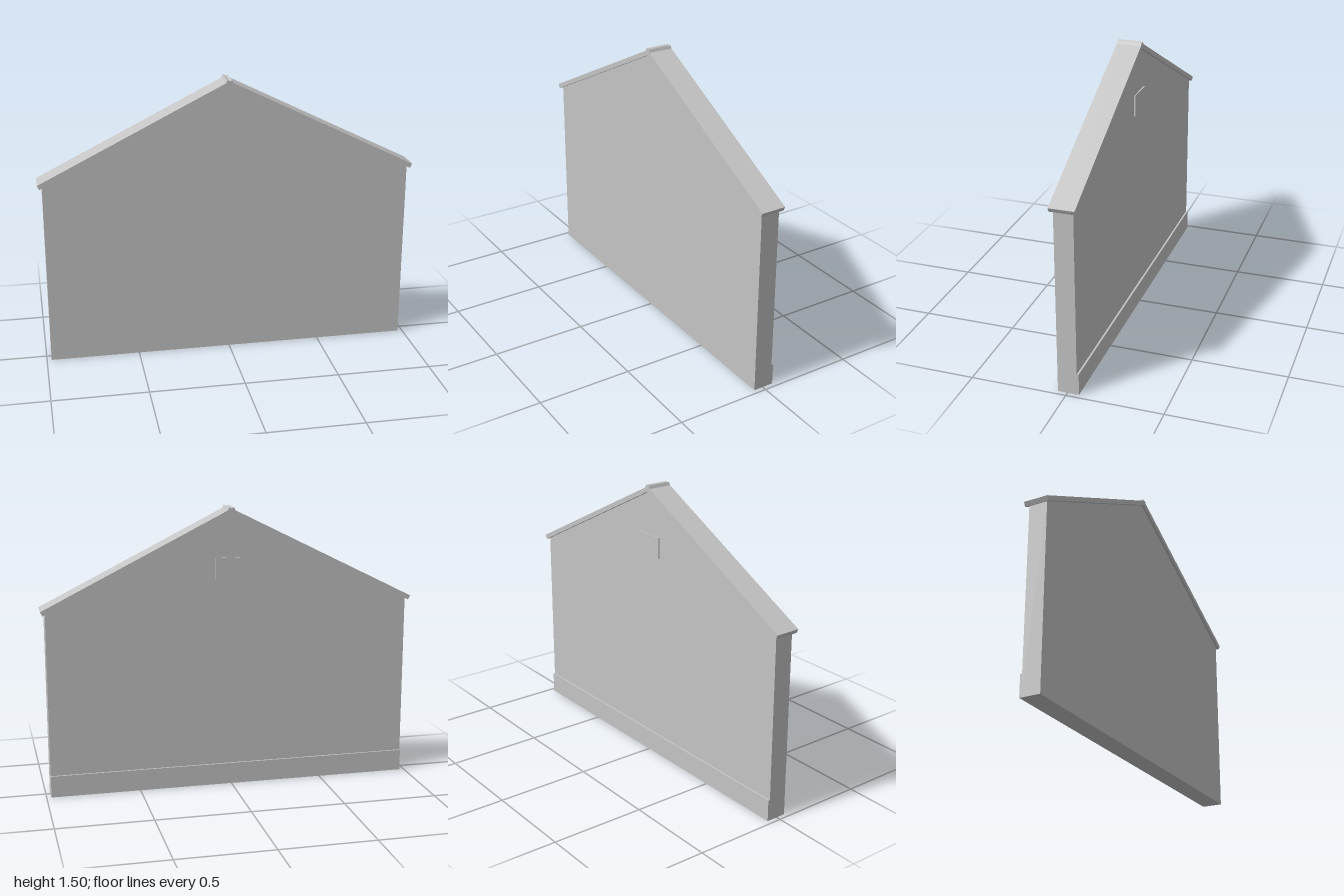
import * as THREE from 'three';

export function createModel() {
  const group = new THREE.Group();
  const grey = new THREE.MeshStandardMaterial({ color: 0xc4c4c4 });
  grey.name = 'plain grey';

  const add = (name, geometry, x = 0, y = 0, z = 0) => {
    const mesh = new THREE.Mesh(geometry, grey);
    mesh.name = name;
    mesh.position.set(x, y, z);
    group.add(mesh);
    return mesh;
  };

  // Extrudes an outline along z, centred on z = 0
  const slab = (points, depth) =>
    new THREE.ExtrudeGeometry(
      new THREE.Shape(points.map(([x, y]) => new THREE.Vector2(x, y))),
      { depth, bevelEnabled: false }
    ).translate(0, 0, -depth / 2);

  // Gabled wall
  const half = 0.975;
  add('gableWall', slab([[-half, 0], [half, 0], [half, 0.987], [0, 1.474], [-half, 0.987]], 0.1));

  // Sloping roof boards, crossing slightly at the ridge
  const angle = Math.atan2(0.5, 1);
  const thickness = 0.025;
  const length = 1.012 / Math.cos(angle);
  for (const side of [-1, 1]) {
    const board = new THREE.BoxGeometry(length, thickness, 0.131);
    board.translate(-length / 2, -thickness / 2, 0); // pivot at the outer top edge
    if (side < 0) board.rotateY(Math.PI).rotateZ(angle);
    else board.rotateZ(-angle);
    add(side < 0 ? 'rightRoofBoard' : 'leftRoofBoard', board, side, 0.999);
  }

  // Plinth along the foot of the back
  add('backPlinth', new THREE.BoxGeometry(half * 2, 0.115, 0.02), 0, 0.0575, -0.05);

  // Small raised plate high on the back
  add('backVentPlate', new THREE.BoxGeometry(0.165, 0.113, 0.009), 0, 1.185, -0.0515);

  return group;
}
